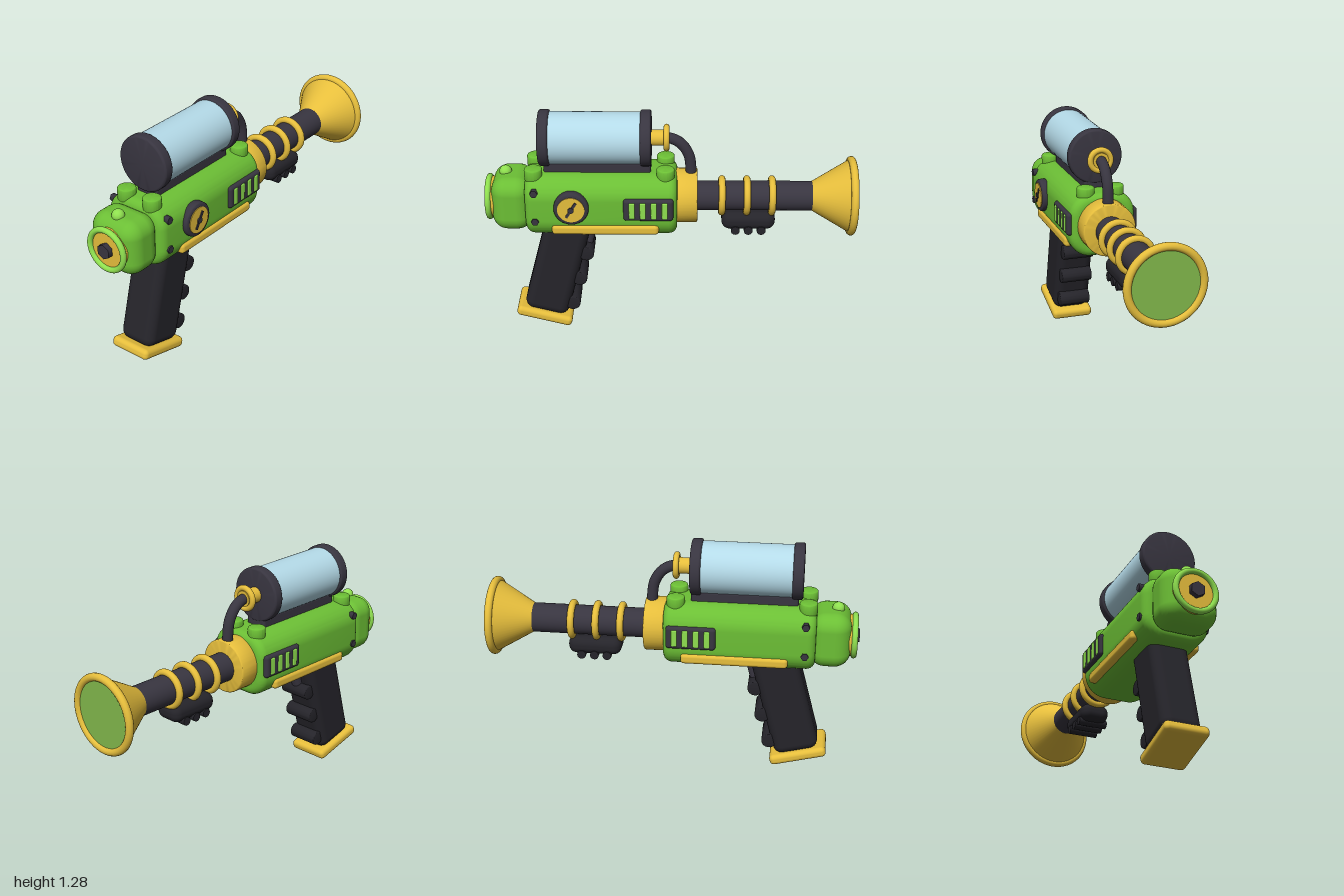
import * as THREE from 'three';
import { RoundedBoxGeometry } from 'three/addons/geometries/RoundedBoxGeometry.js';
import { toCreasedNormals } from 'three/addons/utils/BufferGeometryUtils.js';

const mat = (color) => new THREE.MeshStandardMaterial({ color });
const GREEN = mat(0x6cbf35), LIME = mat(0x8fe04f), YELLOW = mat(0xe6be3c);
const DARK = mat(0x383540), BLACK = mat(0x25242a), GLASS = mat(0xb4dae8), LENS = mat(0x82b94c);
const AXIS = 0.79; // barrel height

export function createModel() {
  const model = new THREE.Group();
  model.name = 'rayBlaster';

  const add = (name, geo, material, x = 0, y = 0, z = 0, parent = model) => {
    const m = new THREE.Mesh(geo, material);
    m.name = name;
    m.position.set(x, y, z);
    parent.add(m);
    return m;
  };
  const box = (w, h, d, r) => new RoundedBoxGeometry(w, h, d, 4, r);
  // cylinders along each axis
  const cylY = (r, h, n = 40) => new THREE.CylinderGeometry(r, r, h, n);
  const cylZ = (r, h, n = 40) => cylY(r, h, n).rotateX(Math.PI / 2);
  const cylX = (r, h, n = 40) => cylY(r, h, n).rotateZ(Math.PI / 2);
  const ring = (r, t) => new THREE.TorusGeometry(r, t, 14, 56);
  // cylinder with softened rims, along y
  const softCyl = (r, h, b) => {
    const pts = [new THREE.Vector2(0, -h / 2)];
    for (const s of [-1, 1])
      for (let i = 0; i <= 4; i++) {
        const a = (s < 0 ? i - 4 : i) * Math.PI / 8;
        pts.push(new THREE.Vector2(r - b + b * Math.cos(a), s * (h / 2 - b) + b * Math.sin(a)));
      }
    pts.push(new THREE.Vector2(0, h / 2));
    return toCreasedNormals(new THREE.LatheGeometry(pts, 48), 0.6);
  };

  // main housing: rounded section swept along z with bevelled ends
  const bevel = 0.045, w = 0.183 - bevel, h = 0.176 - bevel, r = 0.075;
  const section = new THREE.Shape();
  section.moveTo(-w + r, -h);
  section.absarc(w - r, -h + r, r, -Math.PI / 2, 0);
  section.absarc(w - r, h - r, r, 0, Math.PI / 2);
  section.absarc(-w + r, h - r, r, Math.PI / 2, Math.PI);
  section.absarc(-w + r, -h + r, r, Math.PI, Math.PI * 1.5);
  const housing = new THREE.ExtrudeGeometry(section, {
    depth: 0.81 - 2 * bevel, bevelThickness: bevel, bevelSize: bevel, bevelSegments: 5, curveSegments: 10,
  });
  add('housing', toCreasedNormals(housing, 0.7), GREEN, 0, 0.785, -0.04 + bevel);

  // end hub with ringed plate and hex bolt
  add('endHub', box(0.305, 0.305, 0.22, 0.085), GREEN, 0, 0.782, 0.845);
  add('hubPlate', cylZ(0.112, 0.035), YELLOW, 0, 0.78, 0.955);
  add('hubRing', ring(0.109, 0.016), LIME, 0, 0.78, 0.973);
  add('hubBolt', cylZ(0.041, 0.04, 6), DARK, 0, 0.78, 0.98);
  add('hubKnob', new THREE.SphereGeometry(0.033, 24, 16), LIME, 0, 0.934, 0.88);

  // round studs on top of the housing
  for (const x of [-0.083, 0.083])
    for (const z of [0.723, 0.023]) add('topStud', softCyl(0.048, 0.07, 0.01), GREEN, x, 0.96, z);

  // details mirrored on both flanks
  for (const s of [-1, 1]) {
    add('sideStrip', box(0.05, 0.058, 0.57, 0.02), YELLOW, s * 0.167, 0.675, 0.343);
    add('ventPanel', box(0.04, 0.128, 0.265, 0.018), DARK, s * 0.18, 0.8, 0.113);
    for (let i = 0; i < 4; i++)
      add('ventSlot', box(0.016, 0.096, 0.032, 0.007), LIME, s * 0.197, 0.8, 0.2 - i * 0.058);
    for (const y of [0.893, 0.725]) add('sideBolt', cylX(0.021, 0.05, 6), DARK, s * 0.167, y, 0.715);
  }

  // gauge on one flank
  const gauge = new THREE.Group();
  gauge.name = 'gauge';
  gauge.position.set(0.18, 0.812, 0.52);
  model.add(gauge);
  add('gaugeBezel', softCyl(0.093, 0.05, 0.012).rotateZ(Math.PI / 2), DARK, 0.005, 0, 0, gauge);
  add('gaugeFace', cylX(0.072, 0.008), YELLOW, 0.03, 0, 0, gauge);
  add('gaugeNeedle', new THREE.BoxGeometry(0.008, 0.1, 0.014), DARK, 0.035, 0, 0, gauge).rotation.x = -0.55;
  add('gaugePivot', cylX(0.016, 0.014, 20), DARK, 0.035, 0, 0, gauge);

  // tank, saddle and feed hose
  const tankY = 1.133;
  add('tankGlass', cylZ(0.139, 0.5, 56), GLASS, 0, tankY, 0.395);
  for (const z of [0.663, 0.127])
    add('tankCap', softCyl(0.15, 0.058, 0.012).rotateX(Math.PI / 2), DARK, 0, tankY, z);
  add('tankSaddle', box(0.13, 0.09, 0.57, 0.015), DARK, 0, 0.972, 0.385);
  add('feedNozzle', cylZ(0.043, 0.11), YELLOW, 0, 1.135, 0.06);
  add('feedRing', ring(0.057, 0.016), YELLOW, 0, 1.135, 0.018);
  const hosePath = new THREE.CatmullRomCurve3(
    [[1.135, 0.03], [1.13, -0.01], [1.1, -0.06], [1.035, -0.1], [0.96, -0.112], [0.9, -0.113]]
      .map(([y, z]) => new THREE.Vector3(0, y, z)));
  add('feedHose', new THREE.TubeGeometry(hosePath, 32, 0.029, 16), DARK);

  // barrel with collar and rings
  add('barrelCollar', softCyl(0.147, 0.12, 0.008).rotateX(Math.PI / 2), YELLOW, 0, AXIS + 0.002, -0.088);
  add('barrel', cylZ(0.08, 0.68), DARK, 0, AXIS, -0.46);
  for (const z of [-0.28, -0.415, -0.55]) add('barrelRing', ring(0.09, 0.019), YELLOW, 0, AXIS, z);

  // flared muzzle
  const flare = new THREE.CylinderGeometry(0.08, 0.2, 0.205, 56).rotateX(Math.PI / 2);
  add('muzzleFlare', flare, YELLOW, 0, AXIS, -0.868);
  add('muzzleRim', ring(0.194, 0.021), YELLOW, 0, AXIS, -0.976);
  add('muzzleLens', cylZ(0.176, 0.016, 56), LENS, 0, AXIS, -0.974);

  // fore grip under the barrel
  add('foreGrip', box(0.16, 0.1, 0.29, 0.045), BLACK, 0, 0.66, -0.425);
  for (const z of [-0.355, -0.425, -0.495]) add('foreGripRib', cylX(0.024, 0.165, 20), BLACK, 0, 0.615, z);

  // raked pistol grip with finger ribs and base plate
  const grip = new THREE.Group();
  grip.name = 'grip';
  grip.position.set(0, 0.07, 0.703);
  grip.rotation.x = -0.26;
  model.add(grip);
  add('gripCore', box(0.213, 0.62, 0.248, 0.05), BLACK, 0, 0.33, 0, grip);
  add('gripBase', box(0.24, 0.058, 0.315, 0.024), YELLOW, 0, 0, 0, grip);
  for (const y of [0.115, 0.282, 0.448])
    add('fingerRib', softCyl(0.042, 0.18, 0.006).rotateZ(Math.PI / 2), BLACK, 0, y, -0.135, grip);
  add('trigger', box(0.06, 0.12, 0.07, 0.025), DARK, 0, 0.52, -0.125, grip);

  model.position.x = -0.004;
  const root = new THREE.Group();
  root.add(model);
  return root;
}
